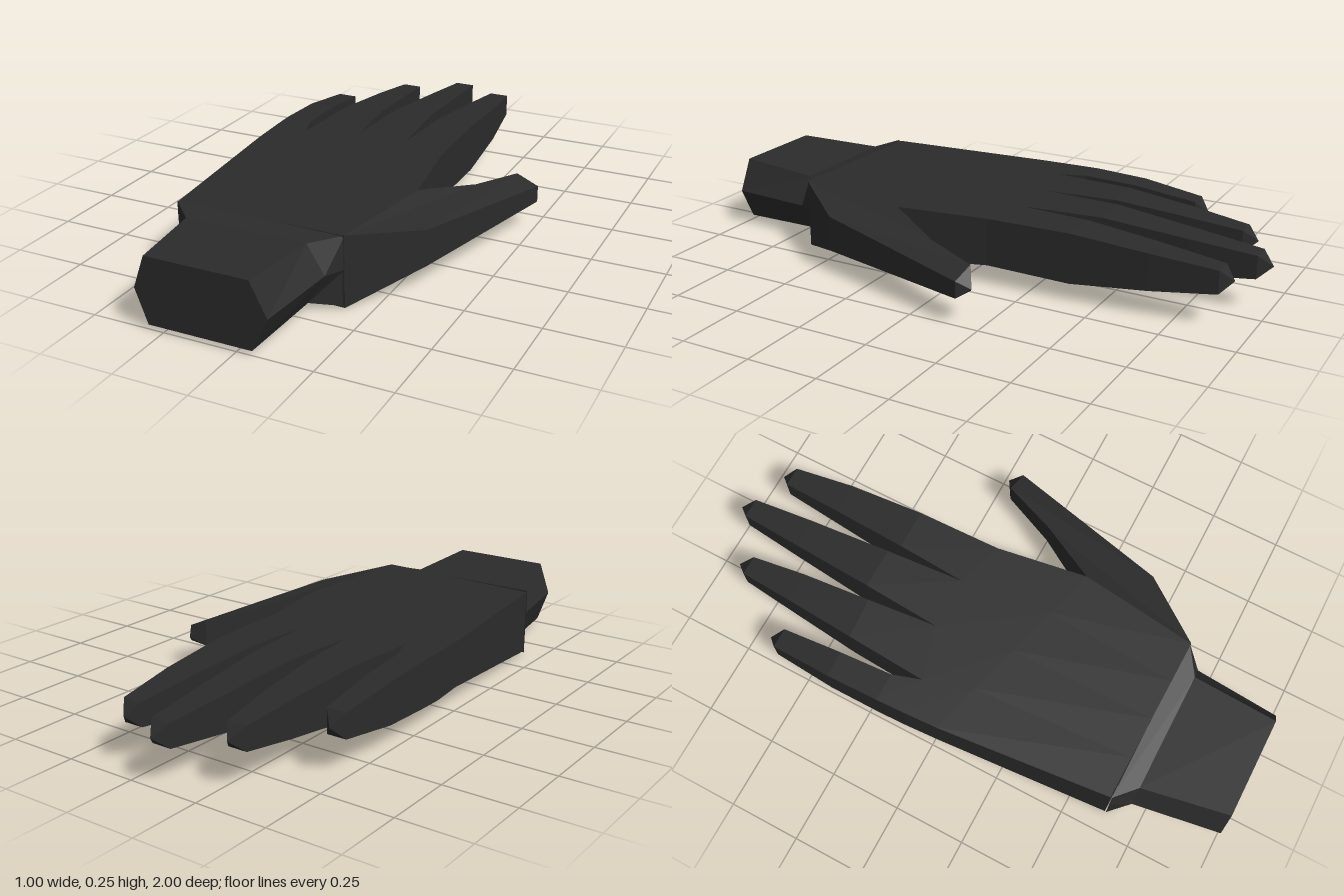
import * as THREE from 'three';

// Joins rings of equal point count into a flat-shaded closed skin.
// A ring whose points coincide makes a pointed end.
function loft(rings) {
  const n = rings[0].length, tris = [];
  const add = (a, b, c) => {
    const t = new THREE.Triangle(a, b, c);
    if (t.getArea() > 1e-7) tris.push(t);
  };
  const quad = (a, b, c, d) => { add(a, b, c); add(a, c, d); };
  for (let r = 0; r < rings.length - 1; r++) {
    for (let i = 0; i < n; i++) {
      const j = (i + 1) % n;
      quad(rings[r][i], rings[r][j], rings[r + 1][j], rings[r + 1][i]);
    }
  }
  // end caps as strips across the ring
  const first = rings[0], last = rings[rings.length - 1];
  for (let i = 0; i < n / 2 - 1; i++) {
    const k = n - 1 - i;
    quad(first[i], first[k], first[k - 1], first[i + 1]);
    quad(last[i], last[i + 1], last[k - 1], last[k]);
  }
  // face outward
  const volume = tris.reduce((s, t) => s + t.a.dot(t.b.clone().cross(t.c)), 0);
  const pts = tris.flatMap(t => (volume < 0 ? [t.a, t.c, t.b] : [t.a, t.b, t.c]));
  const g = new THREE.BufferGeometry().setFromPoints(pts);
  g.computeVertexNormals();
  return g;
}

const V = (x, y, z) => new THREE.Vector3(x, y, z);

// Four-cornered section: left (x, z), right (x, z), left low/high, right low/high
const section = ([xl, zl, xr, zr, lo, hi, lo2 = lo, hi2 = hi]) =>
  [V(xl, lo, zl), V(xr, lo2, zr), V(xr, hi2, zr), V(xl, hi, zl)];

const digit = (sections, tip) =>
  loft([...sections.map(section), Array(4).fill(V(...tip))]);

export function createModel() {
  const model = new THREE.Group();
  model.name = 'glove';
  const fabric = new THREE.MeshStandardMaterial({ color: 0x2b2b2b, flatShading: true });
  fabric.name = 'black fabric';
  const part = (name, geometry) => {
    const mesh = new THREE.Mesh(geometry, fabric);
    mesh.name = name;
    model.add(mesh);
  };

  // Palm: columns from the little-finger edge to the thumb edge
  const knuckles = [[-0.496, -0.1], [-0.368, -0.1], [-0.18, -0.15], [0.005, -0.15], [0.17, -0.1]];
  part('palm', loft(knuckles.map(([x, z], i) => {
    const t = i / 4, mix = (a, b) => THREE.MathUtils.lerp(a, b, t);
    const wx = mix(-0.43, 0.165), mx = mix(-0.49, 0.22), mz = mix(0.02, 0.22);
    const wz = mix(0.63, 0.64);
    return [
      V(wx, mix(0.01, 0), wz), V(mx, mix(0.075, 0.05), mz), V(x, 0.07, z),
      V(x, 0.237, z), V(mx, mix(0.237, 0.238), mz), V(wx, mix(0.24, 0.245), wz),
    ];
  })));

  // Fingers: base, middle and end sections, then the pointed tip
  part('littleFinger', digit([
    [-0.496, -0.1, -0.368, -0.1, 0.07, 0.237],
    [-0.5, -0.2, -0.4, -0.2, 0.075, 0.237],
    [-0.502, -0.39, -0.41, -0.39, 0.085, 0.228],
    [-0.492, -0.61, -0.422, -0.61, 0.115, 0.2],
  ], [-0.46, 0.157, -0.65]));
  part('ringFinger', digit([
    [-0.368, -0.1, -0.18, -0.15, 0.07, 0.237],
    [-0.35, -0.39, -0.205, -0.4, 0.065, 0.238],
    [-0.328, -0.65, -0.222, -0.65, 0.09, 0.217],
    [-0.312, -0.845, -0.243, -0.845, 0.115, 0.195],
  ], [-0.278, 0.155, -0.89]));
  part('middleFinger', digit([
    [-0.18, -0.15, 0.005, -0.15, 0.07, 0.237],
    [-0.163, -0.43, -0.018, -0.43, 0.062, 0.24],
    [-0.14, -0.73, -0.035, -0.73, 0.09, 0.215],
    [-0.122, -0.955, -0.052, -0.955, 0.115, 0.195],
  ], [-0.087, 0.155, -1]));
  part('indexFinger', digit([
    [0.005, -0.15, 0.17, -0.1, 0.07, 0.237],
    [0.02, -0.4, 0.162, -0.4, 0.063, 0.238],
    [0.038, -0.67, 0.148, -0.67, 0.09, 0.217],
    [0.052, -0.89, 0.122, -0.89, 0.115, 0.195],
  ], [0.086, 0.155, -0.93]));
  part('thumb', digit([
    [0.22, 0.22, 0.165, 0.64, 0.05, 0.238, 0, 0.245],
    [0.34, 0.01, 0.34, 0.42, 0.08, 0.198, 0.08, 0.205],
    [0.42, -0.18, 0.5, -0.17, 0.09, 0.18, 0.092, 0.15],
  ], [0.47, 0.12, -0.212]));

  // Six-sided cuff flaring into the palm: z, low, high, then outer and inner x per side
  const cuff = [
    [1, 0.015, 0.242, -0.343, -0.302, 0.052, 0.108],
    [0.7, 0.025, 0.226, -0.392, -0.355, 0.07, 0.13],
    [0.635, 0.004, 0.243, -0.43, -0.43, 0.165, 0.165],
  ];
  part('cuff', loft(cuff.map(([z, lo, hi, xo, xi, xi2, xo2]) => [
    V(xi, lo, z), V(xi2, lo, z), V(xo2, 0.13, z),
    V(xi2, hi, z), V(xi, hi, z), V(xo, 0.13, z),
  ])));

  return model;
}
